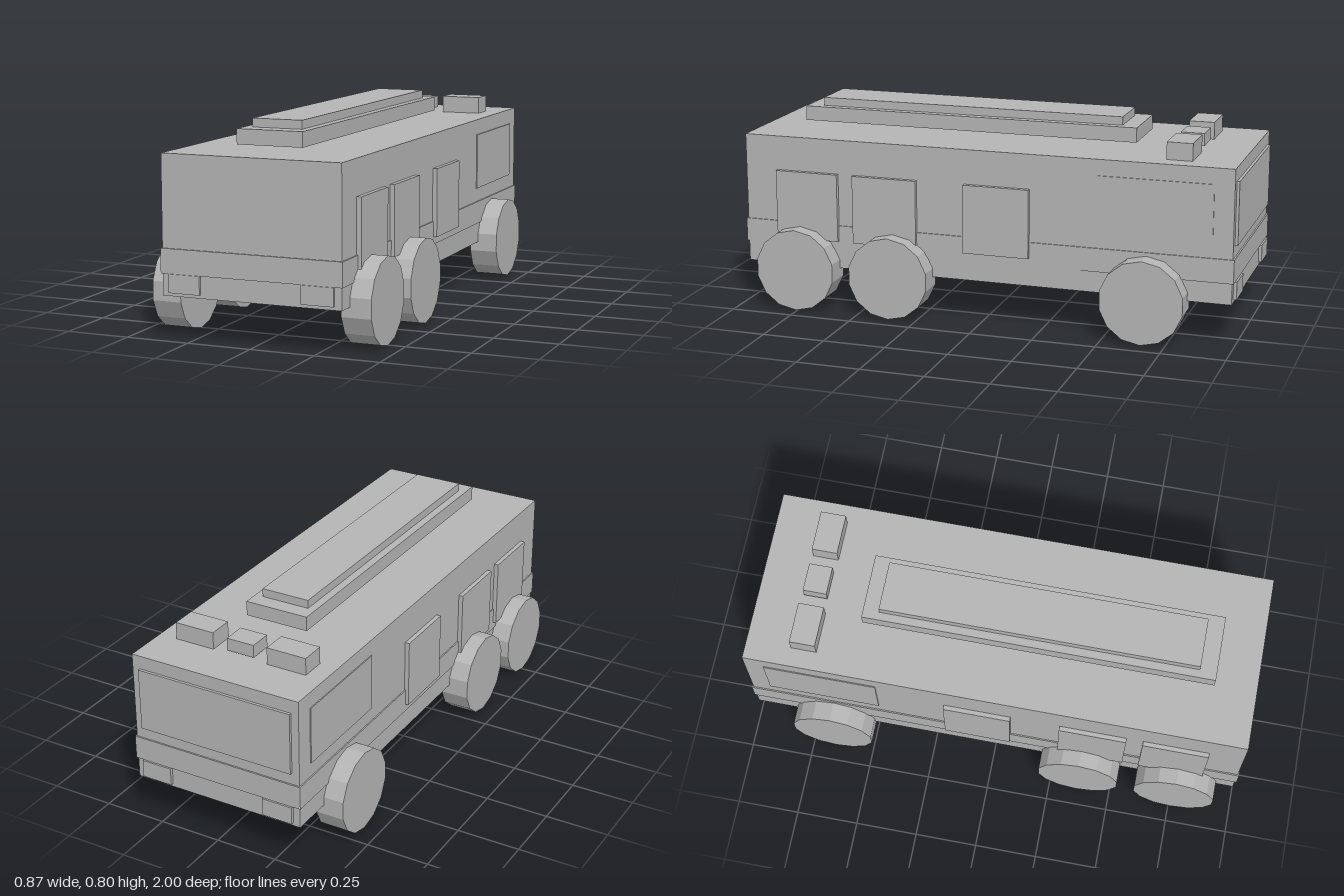
import * as THREE from 'three';

export function createModel() {
  const model = new THREE.Group();
  const grey = new THREE.MeshStandardMaterial({ color: 0xb4b4b4, flatShading: true });
  grey.name = 'plain grey';

  // Box given by its lower and upper limits on each axis
  const box = (name, [x0, x1], [y0, y1], [z0, z1]) => {
    const mesh = new THREE.Mesh(new THREE.BoxGeometry(x1 - x0, y1 - y0, z1 - z0), grey);
    mesh.position.set((x0 + x1) / 2, (y0 + y1) / 2, (z0 + z1) / 2);
    mesh.name = name;
    model.add(mesh);
  };
  // The same box on both sides
  const pair = (name, [x0, x1], y, z) => {
    box(name + 'Left', [x0, x1], y, z);
    box(name + 'Right', [-x1, -x0], y, z);
  };

  // Body and bumper belt
  box('body', [-0.353, 0.353], [0.167, 0.69], [-0.987, 0.99]);
  box('belt', [-0.358, 0.358], [0.25, 0.343], [-0.993, 0.996]);

  // Windscreen and cab side windows at the -z end
  box('windscreen', [-0.322, 0.322], [0.39, 0.637], [-0.998, -0.98]);
  pair('cabWindow', [0.345, 0.357], [0.4, 0.627], [-0.91, -0.465]);

  // Side lockers
  for (const [z0, z1] of [[0.595, 0.855], [0.265, 0.53], [-0.195, 0.07]]) {
    pair('locker', [0.34, 0.371], [0.28, 0.553], [z0, z1]);
  }

  // Lamps at both ends
  pair('frontLamp', [0.2, 0.325], [0.18, 0.25], [0.98, 1]);
  pair('rearLamp', [0.2, 0.325], [0.18, 0.25], [-1, -0.98]);

  // Two-step roof rack, held clear of the roof
  box('rackBase', [-0.131, 0.131], [0.712, 0.77], [-0.557, 0.823]);
  box('rackTop', [-0.099, 0.099], [0.77, 0.803], [-0.493, 0.757]);

  // Roof beacons
  pair('beacon', [0.115, 0.278], [0.69, 0.758], [-0.81, -0.709]);
  box('middleBeacon', [-0.057, 0.057], [0.7, 0.75], [-0.807, -0.714]);

  // Wheels, with a corner at the top
  const wheelShape = new THREE.CylinderGeometry(0.165, 0.165, 0.115, 14)
    .rotateY(Math.PI / 2)
    .rotateZ(Math.PI / 2);
  for (const z of [0.757, 0.363, -0.657]) {
    for (const side of [-1, 1]) {
      const wheel = new THREE.Mesh(wheelShape, grey);
      wheel.position.set(side * 0.377, 0.165, z);
      wheel.name = side > 0 ? 'wheelLeft' : 'wheelRight';
      model.add(wheel);
    }
  }
  return model;
}
